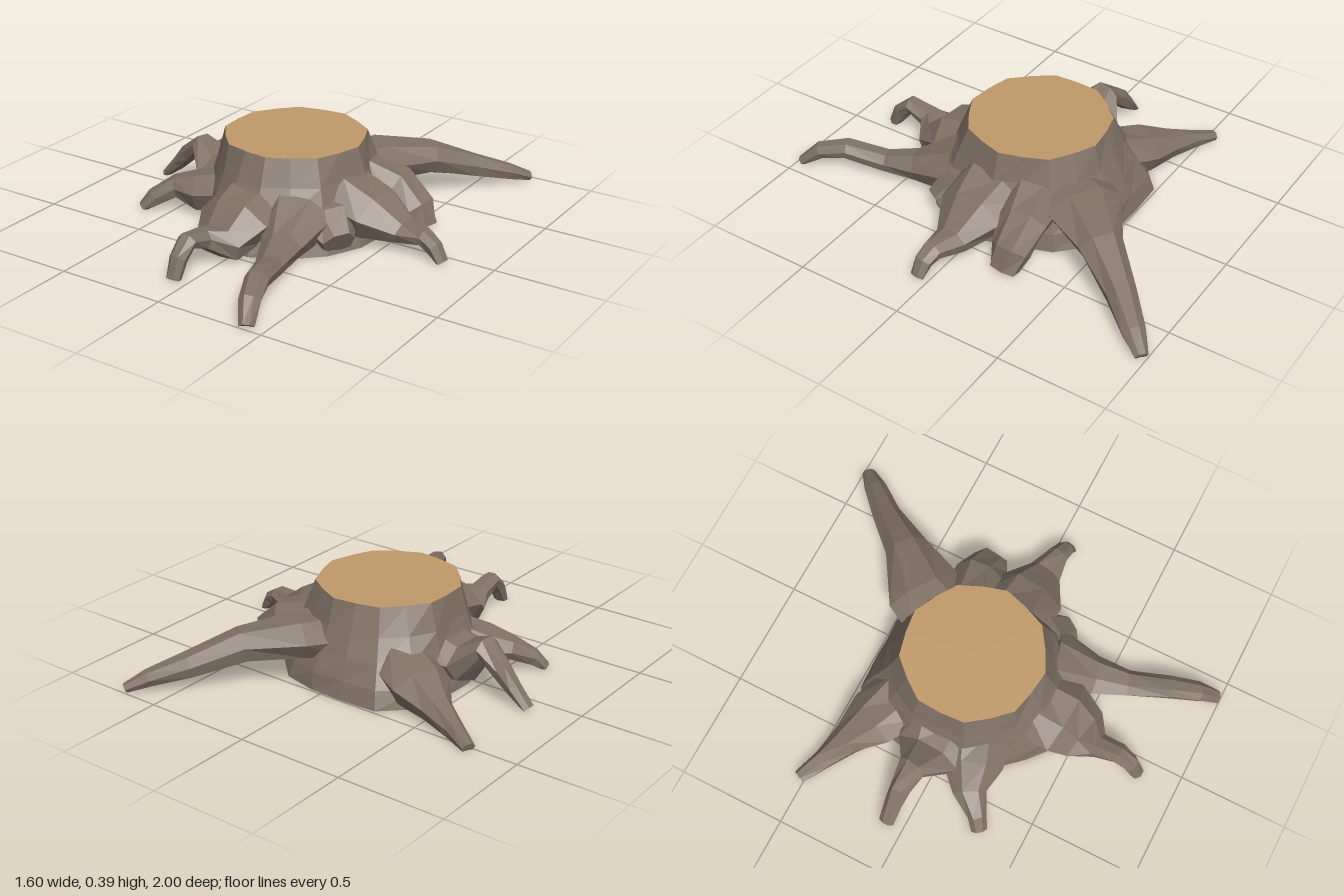
import * as THREE from 'three';

const bark = new THREE.MeshStandardMaterial({ color: 0x7f7164, flatShading: true });
bark.name = 'bark';
const cutWood = new THREE.MeshStandardMaterial({ color: 0xc09a69 });
cutWood.name = 'cutWood';

// Skin a list of equal-length rings, with optional end caps
function loft(rings, capStart, capEnd) {
  const n = rings[0].length;
  const pos = rings.flat().flatMap((p) => [p.x, p.y, p.z]);
  const idx = [];
  for (let i = 0; i < rings.length - 1; i++) {
    for (let j = 0; j < n; j++) {
      const a = i * n + j, b = i * n + (j + 1) % n;
      idx.push(a, a + n, b, b, a + n, b + n);
    }
  }
  const cap = (ring, first, flip) => {
    const c = ring.reduce((s, p) => s.add(p), new THREE.Vector3()).divideScalar(n);
    const m = pos.length / 3;
    pos.push(c.x, c.y, c.z);
    for (let j = 0; j < n; j++) {
      const a = first + j, b = first + (j + 1) % n;
      if (flip) idx.push(m, b, a);
      else idx.push(m, a, b);
    }
  };
  if (capStart) cap(rings[0], 0, false);
  if (capEnd) cap(rings[rings.length - 1], (rings.length - 1) * n, true);
  const g = new THREE.BufferGeometry();
  g.setAttribute('position', new THREE.Float32BufferAttribute(pos, 3));
  g.setIndex(idx);
  g.computeVertexNormals();
  return g;
}

// Root stations: x, y, z of the centre, half width, half height
const roots = {
  backLeftRoot: [[0.12, 0.17, -0.25, 0.17, 0.11], [0.2, 0.19, -0.41, 0.17, 0.095], [0.36, 0.17, -0.59, 0.105, 0.075],
    [0.5, 0.1, -0.77, 0.07, 0.055], [0.62, 0.05, -0.9, 0.05, 0.04], [0.69, 0.01, -0.98, 0.03, 0.025]],
  backRightRoot: [[-0.25, 0.13, -0.26, 0.15, 0.12], [-0.42, 0.09, -0.34, 0.13, 0.1], [-0.55, 0.06, -0.41, 0.075, 0.065],
    [-0.68, 0.035, -0.47, 0.045, 0.04], [-0.785, 0.01, -0.525, 0.03, 0.025]],
  rightArchedRoot: [[-0.3, 0.13, -0.04, 0.19, 0.13], [-0.46, 0.12, -0.04, 0.15, 0.09], [-0.56, 0.21, -0.06, 0.07, 0.05],
    [-0.65, 0.14, -0.075, 0.05, 0.045], [-0.71, 0.08, -0.08, 0.04, 0.035], [-0.785, 0, -0.08, 0.035, 0.025]],
  frontRightRoot: [[-0.27, 0.11, 0.11, 0.15, 0.12], [-0.41, 0.09, 0.16, 0.13, 0.1], [-0.52, 0.1, 0.2, 0.08, 0.05],
    [-0.59, 0.05, 0.27, 0.045, 0.04], [-0.63, 0, 0.3, 0.035, 0.03]],
  frontRoot: [[-0.03, 0.15, 0.24, 0.17, 0.14], [-0.03, 0.12, 0.42, 0.17, 0.12], [-0.04, 0.07, 0.53, 0.14, 0.075],
    [-0.07, 0.11, 0.61, 0.06, 0.045], [-0.07, 0.135, 0.71, 0.045, 0.04], [-0.07, 0.08, 0.77, 0.04, 0.04],
    [-0.07, 0, 0.81, 0.035, 0.03]],
  frontLeftRoot: [[0.18, 0.13, 0.25, 0.16, 0.13], [0.23, 0.08, 0.45, 0.09, 0.075], [0.27, 0.07, 0.6, 0.065, 0.045],
    [0.33, 0.1, 0.78, 0.055, 0.04], [0.38, 0.07, 0.9, 0.045, 0.04], [0.42, 0, 0.98, 0.033, 0.03]],
  leftRoot: [[0.28, 0.16, 0, 0.19, 0.14], [0.43, 0.12, 0.01, 0.16, 0.12], [0.58, 0.08, 0.02, 0.085, 0.055],
    [0.69, 0.09, 0.04, 0.05, 0.04], [0.74, 0.06, 0.05, 0.04, 0.04], [0.78, 0, 0.055, 0.035, 0.025]],
  leftStubRoot: [[0.25, 0.18, -0.2, 0.13, 0.12], [0.4, 0.16, -0.23, 0.11, 0.09], [0.5, 0.08, -0.23, 0.095, 0.07],
    [0.54, 0, -0.22, 0.075, 0.055]],
  frontLeftShoulder: [[0.15, 0.14, 0.1, 0.15, 0.13], [0.3, 0.11, 0.19, 0.13, 0.1], [0.38, 0.06, 0.24, 0.08, 0.06]],
};

// Seven-sided gnarled tube that never dips below the ground
function rootGeometry(stations) {
  const centres = stations.map(([x, y, z]) => new THREE.Vector3(x, y, z));
  const up = new THREE.Vector3(0, 1, 0);
  const last = centres.length - 1, sides = 7;
  const rings = stations.map(([, , , w, h], i) => {
    const t = centres[Math.min(i + 1, last)].clone().sub(centres[Math.max(i - 1, 0)]).normalize();
    const s = t.clone().cross(up).normalize();
    const nrm = s.clone().cross(t);
    return Array.from({ length: sides }, (_, j) => {
      const a = (j / sides) * Math.PI * 2 + 0.22;
      const k = 1 + 0.07 * Math.sin(j * 2.4 + i * 1.7);
      const p = centres[i].clone().addScaledVector(s, Math.cos(a) * w * k).addScaledVector(nrm, Math.sin(a) * h * k);
      p.y = Math.max(p.y, 0);
      return p;
    });
  });
  return loft(rings, true, true);
}

export function createModel() {
  const model = new THREE.Group();
  model.name = 'treeStump';
  const add = (name, geometry, material) => {
    const m = new THREE.Mesh(geometry, material);
    m.name = name;
    model.add(m);
  };

  // Trunk: irregular base outline flowing up into a rough round cut
  const base = [0.46, 0.47, 0.48, 0.49, 0.51, 0.5, 0.44, 0.42, 0.42, 0.43, 0.45, 0.51, 0.52, 0.465, 0.46, 0.48, 0.47, 0.44];
  const flare = [[0, 1], [0.08, 0.86], [0.17, 0.58], [0.27, 0.28], [0.39, 0]];
  const rings = flare.map(([y, f], i) => base.map((r, j) => {
    const a = (j / base.length) * Math.PI * 2;
    const top = j % 2 ? 0.312 : 0.325;
    const bump = i > 0 && i < 4 ? 0.008 * Math.sin(j * 2.3 + i) : 0;
    const rad = top + (r - top) * f + bump;
    return new THREE.Vector3(-0.023 + rad * Math.cos(a), y, -0.037 + rad * Math.sin(a));
  }));
  add('trunk', loft(rings, true, false), bark);
  add('cutTop', loft([rings[rings.length - 1]], false, true), cutWood);

  // Roots
  for (const [name, stations] of Object.entries(roots)) add(name, rootGeometry(stations), bark);
  return model;
}
